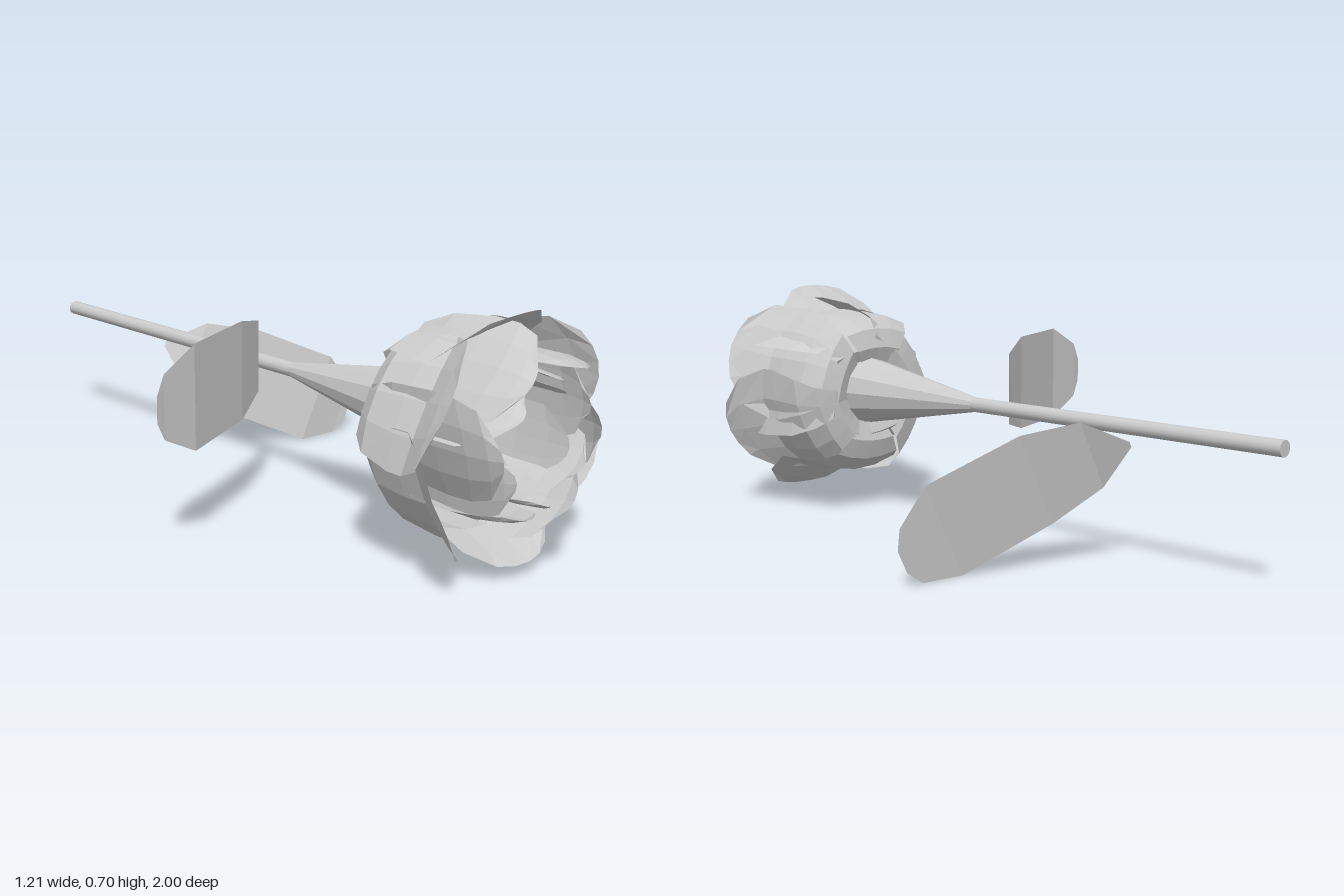
import * as THREE from 'three';

const material = new THREE.MeshStandardMaterial({ color: 0xcccccc, flatShading: true, side: THREE.DoubleSide });
const smooth = new THREE.MeshStandardMaterial({ color: 0xcccccc, side: THREE.DoubleSide });
const rad = THREE.MathUtils.degToRad;

// Sheet of rows x cols quads whose points come from a rule
function sheet(rows, cols, point) {
  const pos = [], index = [];
  for (let i = 0; i <= rows; i++)
    for (let j = 0; j <= cols; j++) pos.push(...point(i, (2 * j) / cols - 1));
  for (let i = 0; i < rows; i++)
    for (let j = 0; j < cols; j++) {
      const a = i * (cols + 1) + j, b = a + cols + 1;
      index.push(a, a + 1, b, b, a + 1, b + 1);
    }
  const g = new THREE.BufferGeometry();
  g.setAttribute('position', new THREE.Float32BufferAttribute(pos, 3));
  g.setIndex(index);
  g.computeVertexNormals();
  return g;
}

function add(parent, name, geometry, mat = material) {
  const mesh = new THREE.Mesh(geometry, mat);
  mesh.name = name;
  parent.add(mesh);
  return mesh;
}

// Petal rows: [distance from the axis, z, half width]
const outerRows = [[0.09, 0.565, 0.05], [0.15, 0.545, 0.085], [0.21, 0.562, 0.12], [0.252, 0.62, 0.16], [0.262, 0.72, 0.185], [0.262, 0.79, 0.185], [0.31, 0.865, 0.17], [0.335, 0.915, 0.1]];
const middleRows = [[0.09, 0.57, 0.05], [0.145, 0.55, 0.075], [0.19, 0.58, 0.105], [0.215, 0.67, 0.135], [0.225, 0.8, 0.145], [0.225, 0.9, 0.14], [0.215, 0.96, 0.12], [0.2, 0.995, 0.06]];
const innerRows = [[0.11, 0.585, 0.04], [0.145, 0.58, 0.065], [0.17, 0.65, 0.1], [0.178, 0.78, 0.12], [0.178, 0.9, 0.12], [0.17, 0.965, 0.09], [0.16, 0.995, 0.04]];
const heartRows = [[0.12, 0.6, 0.04], [0.138, 0.66, 0.07], [0.145, 0.78, 0.095], [0.145, 0.88, 0.09], [0.14, 0.95, 0.045]];

// One bowed petal; lean pushes one side edge outwards and tucks the other in
function petal(rows, bow, lean) {
  return sheet(rows.length - 1, 4, (i, u) => {
    const [r, z, h] = rows[i];
    const y = u * h;
    const droop = i > rows.length - 4 ? 0.025 * u * u : 0;
    return [r - bow * y * y + lean * y, y, z - droop];
  });
}

function petalRing(parent, name, geometry, angles) {
  const ring = new THREE.Group();
  ring.name = name + 'Ring';
  for (const a of angles) add(ring, name, geometry).rotation.z = rad(a);
  parent.add(ring);
  return ring;
}

// Leaf rows: [distance from the stem, z along the stem, half width]
const leafRows = [[0.01, 0, 0.008], [0.08, 0.08, 0.105], [0.22, 0.165, 0.142], [0.48, 0.272, 0.145], [0.594, 0.286, 0.087], [0.622, 0.292, 0.035]];

function addLeaf(parent, name, position, angle) {
  const geometry = sheet(leafRows.length - 1, 2, (i, u) => {
    const [r, z, w] = leafRows[i];
    return [r, u * w, z];
  });
  const leaf = add(parent, name, geometry);
  leaf.position.set(...position);
  leaf.rotation.z = rad(angle);
}

export function createModel() {
  const model = new THREE.Group();
  model.name = 'flower';
  const flower = new THREE.Group();
  flower.name = 'stemAndBloom';
  flower.position.set(0.022, 0.381, 0);
  model.add(flower);

  // Stem and the hollow cone that carries the bloom
  const stem = new THREE.CylinderGeometry(0.022, 0.022, 1.08, 12);
  stem.rotateX(Math.PI / 2).translate(0, 0, -0.46);
  add(flower, 'stem', stem, smooth);
  const cone = new THREE.CylinderGeometry(0.112, 0.022, 0.53, 12, 1, true);
  cone.rotateX(Math.PI / 2).translate(0, 0, 0.345);
  add(flower, 'cone', cone);

  // Bloom: flared outer petals, slightly off centre, around upright overlapping rings
  const outer = petalRing(flower, 'outerPetal', petal(outerRows, 1.4, 0.08), [27, 95, 152, 212, 278, 338]);
  outer.position.set(-0.012, -0.013, 0);
  petalRing(flower, 'middlePetal', petal(middleRows, 1.1, -0.3), [0, 60, 120, 180, 240, 300]);
  petalRing(flower, 'innerPetal', petal(innerRows, 0.5, 0.3), [25, 85, 145, 205, 265, 325]);
  petalRing(flower, 'heartPetal', petal(heartRows, 0.5, -0.25), [50, 122, 194, 266, 338]);

  // Two leaves, one on each side of the stem
  addLeaf(model, 'leftLeaf', [0.034, 0.342, -0.535], -26.6);
  addLeaf(model, 'rightLeaf', [0.02, 0.425, -0.06], 180);
  return model;
}
